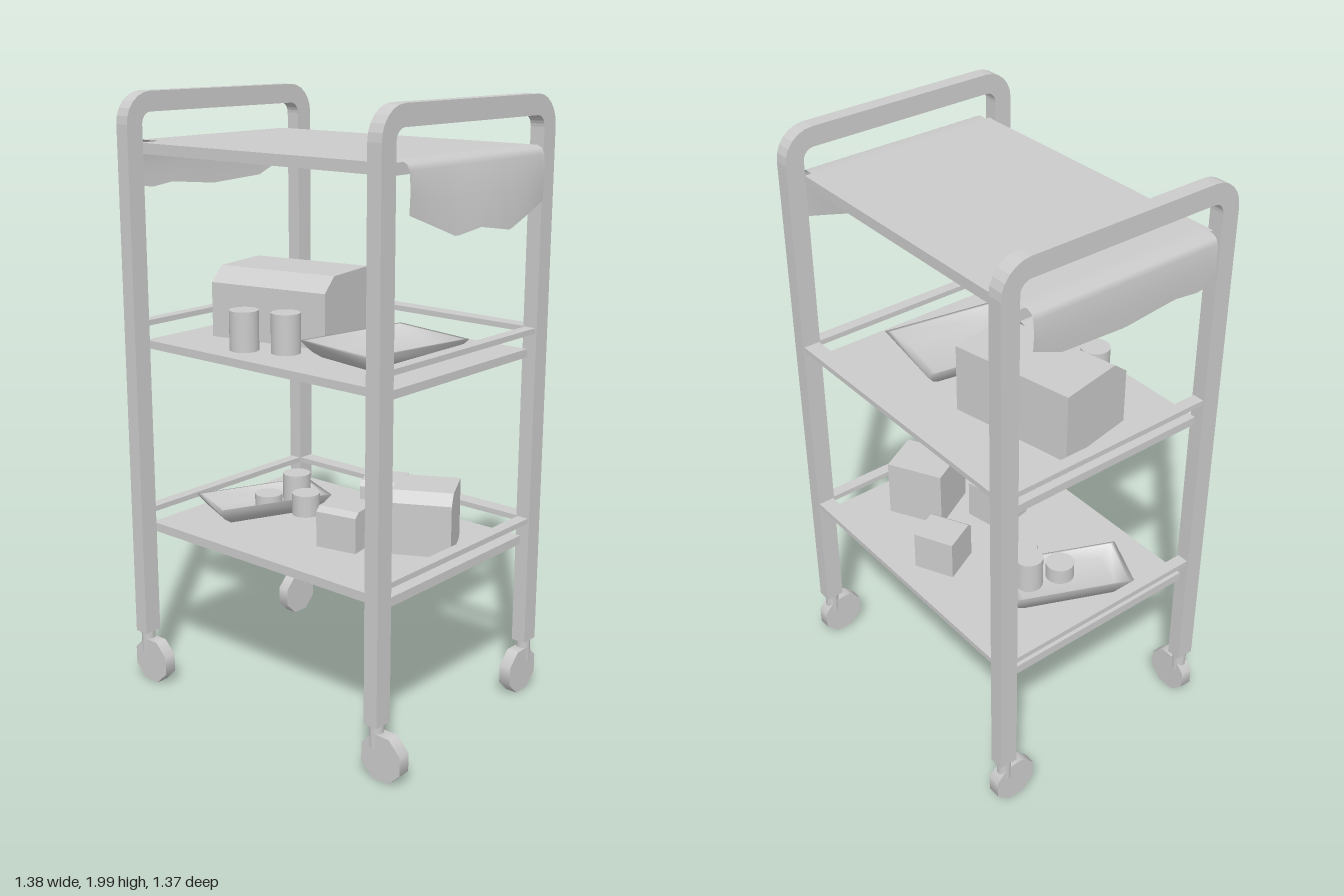
import * as THREE from 'three';

const grey = new THREE.MeshStandardMaterial({ color: 0xcccccc });
const thin = new THREE.MeshStandardMaterial({ color: 0xcccccc, side: THREE.DoubleSide });
const deg = Math.PI / 180;

function add(parent, name, geometry, x, y, z, material = grey) {
  const mesh = new THREE.Mesh(geometry, material);
  mesh.name = name;
  mesh.position.set(x, y, z);
  parent.add(mesh);
  return mesh;
}

const box = (w, h, d) => new THREE.BoxGeometry(w, h, d);

// Half spans of the frame, between leg centres
const U = 0.51, V = 0.395, LEG_T = 0.05, LEG_W = 0.063;

// Arched side frame: two legs joined by a rounded handle
function hoopGeometry() {
  const arch = (path, half, top, r, back) => {
    const pts = [];
    for (let i = 0; i <= 6; i++) {
      const a = (i / 6) * Math.PI / 2;
      pts.push([half - r + r * Math.cos(a), top - r + r * Math.sin(a)]);
    }
    const all = [[half, 0.18], ...pts, ...pts.map(([x, y]) => [-x, y]).reverse(), [-half, 0.18]];
    if (back) all.reverse();
    return all.map(([x, y]) => new THREE.Vector2(x, y));
  };
  const outer = arch(null, V + LEG_W / 2, 2, 0.1, false);
  const inner = arch(null, V - LEG_W / 2, 1.936, 0.037, true);
  const g = new THREE.ExtrudeGeometry(new THREE.Shape([...outer, ...inner]), { depth: LEG_T, bevelEnabled: false });
  return g.translate(0, 0, -LEG_T / 2).rotateY(Math.PI / 2);
}

// Linear interpolation through [position, value] pairs
function along(points, t) {
  for (let i = 1; i < points.length; i++) {
    const [a, va] = points[i - 1], [b, vb] = points[i];
    if (t <= b) return va + (vb - va) * (t - a) / (b - a);
  }
  return points[points.length - 1][1];
}

// Cloth laid over the top shelf and hanging past both hoops, with wavy hems
function clothGeometry() {
  const hemL = [[0, 1.7], [0.1, 1.69], [0.23, 1.7], [0.51, 1.68], [0.85, 1.69], [1, 1.73]];
  const hemR = [[0, 1.7], [0.28, 1.625], [0.45, 1.64], [0.68, 1.615], [1, 1.68]];
  const g = new THREE.PlaneGeometry(1, 1, 11, 40);
  const p = g.attributes.position;
  for (let i = 0; i < p.count; i++) {
    const ix = i % 12, f = 1 - Math.floor(i / 12) / 40;
    const l = along(hemL, f), r = along(hemR, f);
    const bulge = 0.03 * Math.sin(Math.PI * f);
    const path = [
      [-0.553, l], [-0.556, (l + 1.82) / 2], [-0.553, 1.82], [-0.546, 1.838], [-0.53, 1.847], [-0.48, 1.847],
      [0.48, 1.847], [0.53, 1.847], [0.548, 1.838], [0.558, 1.82],
      [0.561 + bulge * 0.6, (r + 1.82) / 2], [0.558 + bulge, r],
    ];
    p.setXYZ(i, path[ix][0], path[ix][1], 0.333 - 0.667 * f);
  }
  // Rows run from back to front so that the sheet faces up
  g.computeVertexNormals();
  return g;
}

// Box with its top front edge cut off
function chamferBox(w, h, d, c) {
  const pts = [[-d / 2, 0], [d / 2, 0], [d / 2, h], [-d / 2 + c, h], [-d / 2, h - c * 0.8]];
  const s = new THREE.Shape(pts.map(([x, y]) => new THREE.Vector2(x, y)));
  const g = new THREE.ExtrudeGeometry(s, { depth: w, bevelEnabled: false });
  return g.translate(0, 0, -w / 2).rotateY(Math.PI / 2);
}

// Four-sided open tray with flared walls, one unit square before scaling
function trayGeometry() {
  const pts = [[0, 0], [0.37, 0], [0.43, 0.018], [0.5, 0.055], [0.46, 0.055], [0.36, 0.015], [0, 0.015]];
  return new THREE.LatheGeometry(pts.map(([r, y]) => new THREE.Vector2(r * Math.SQRT2, y)), 4, Math.PI / 4);
}

export function createModel() {
  const model = new THREE.Group();
  model.name = 'servingCart';

  const frame = new THREE.Group();
  frame.name = 'cartFrame';
  frame.position.z = -0.017;
  frame.rotation.y = -36.2 * deg;
  model.add(frame);

  const hoop = hoopGeometry();
  for (const s of [-1, 1]) add(frame, s < 0 ? 'rightHoop' : 'leftHoop', hoop, s * U, 0, 0);

  // Shelves
  for (const [name, top, h] of [['lowerShelf', 0.565, 0.03], ['middleShelf', 1.2, 0.027], ['topShelf', 1.84, 0.035]])
    add(frame, name, box(2 * U, h, 0.708), 0, top - h / 2, 0.003);

  // Guard rails at the back and both ends of the two lower shelves
  for (const y of [0.617, 1.26]) {
    add(frame, 'backRail', box(2 * U - LEG_T, 0.018, 0.055), 0, y, -V);
    for (const s of [-1, 1]) add(frame, 'endRail', box(0.04, 0.018, 2 * V - LEG_W), s * U, y, 0);
  }

  // Casters: the front pair rolls lengthwise, the back pair crosswise
  const wheel = new THREE.CylinderGeometry(0.08, 0.08, 0.042, 8).rotateX(Math.PI / 2).rotateZ(Math.PI / 8);
  const stem = new THREE.CylinderGeometry(0.024, 0.024, 0.09, 10);
  for (const su of [-1, 1]) for (const sv of [-1, 1]) {
    const caster = new THREE.Group();
    caster.name = 'caster';
    caster.position.set(su * U, 0, sv * V);
    if (sv < 0) caster.rotation.y = -Math.PI / 2;
    frame.add(caster);
    add(caster, 'casterStem', stem, 0, 0.15, 0);
    add(caster, 'casterWheel', wheel, 0.032, 0.08, 0);
  }

  add(frame, 'cloth', clothGeometry(), 0, 0, 0, thin);

  // Boxes: x, y, z, width, height, depth, chamfer, turn
  const boxes = [
    ['breadBox', -0.158, 1.2, -0.143, 0.43, 0.23, 0.284, 0.06, -25],
    ['largeBox', 0.305, 0.565, 0.115, 0.2, 0.205, 0.2, 0.04, -8],
    ['smallBox', 0.05, 0.565, 0.12, 0.145, 0.135, 0.14, 0.02, -25],
    ['smallBox', 0.16, 0.565, -0.17, 0.14, 0.135, 0.14, 0.02, -10],
  ];
  for (const [name, x, y, z, w, h, d, c, turn] of boxes)
    add(model, name, chamferBox(w, h, d, c), x, y, z).rotation.y = turn * deg;

  // Trays
  const tray = trayGeometry();
  for (const [x, y, z, l, w, turn] of [[0.17, 1.2, 0.145, 0.42, 0.32, 44], [-0.26, 0.565, -0.188, 0.42, 0.21, 30]]) {
    const t = add(model, 'tray', tray, x, y, z, thin);
    t.scale.set(l, 1, w);
    t.rotation.y = turn * deg;
  }

  // Cups: x, y, z, height
  for (const [x, y, z, h] of [
    [-0.28, 1.2, 0.085, 0.13], [-0.143, 1.2, 0.115, 0.13],
    [-0.15, 0.575, -0.225, 0.115], [-0.108, 0.575, -0.13, 0.075], [-0.24, 0.575, -0.16, 0.06],
  ]) add(model, 'cup', new THREE.CylinderGeometry(0.048, 0.048, h, 16), x, y + h / 2, z);

  return model;
}
